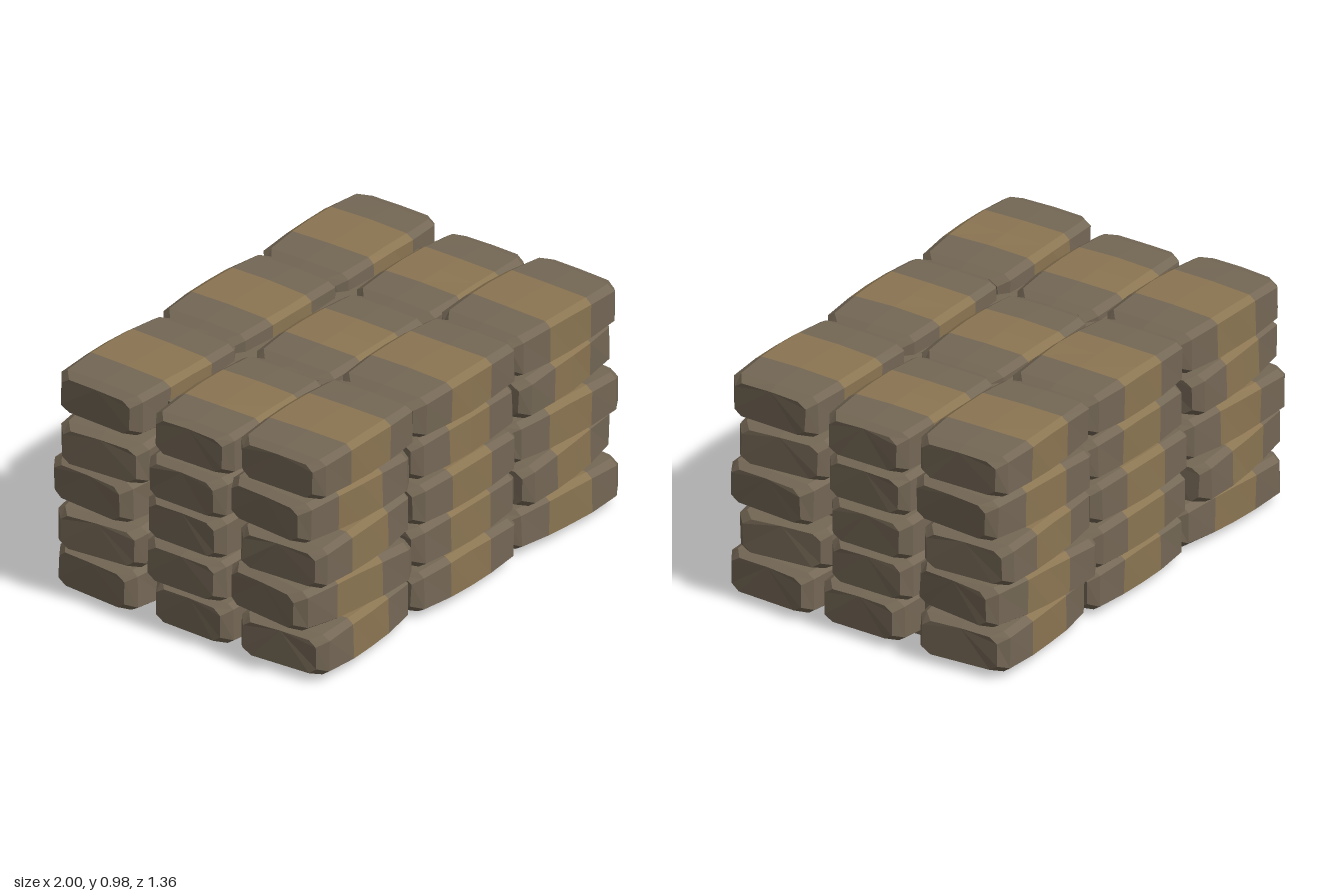
import * as THREE from 'three';

const endCloth = new THREE.MeshStandardMaterial({ color: 0x746755, flatShading: true });
endCloth.name = 'greyBrownCloth';
const midCloth = new THREE.MeshStandardMaterial({ color: 0x8b7552, flatShading: true });
midCloth.name = 'tanCloth';

// Small seeded generator, -1 to 1
let seed = 11;
function jitter() {
  seed = (seed * 16807) % 2147483647;
  return (seed / 2147483647) * 2 - 1;
}

// Faceted sack: cross-sections along x, with a tan band around the middle
function sackGeometry(halfDepth) {
  const bend = () => 0.003 * jitter();
  // x, half height, inset from the full half depth, corner cut in y and z
  const stations = [
    [-0.324, 0.072, 0.045, 0.024, 0.035], [-0.28, 0.087, 0.012, 0.02, 0.03],
    [-0.125, 0.094, 0.002, 0.02, 0.03], [0, 0.096, 0, 0.02, 0.03],
    [0.125, 0.094, 0.002, 0.02, 0.03], [0.28, 0.087, 0.012, 0.02, 0.03],
    [0.324, 0.072, 0.045, 0.024, 0.035],
  ];
  const rings = stations.map(([x, h, inset, cy, cz]) => {
    const w = halfDepth - inset;
    return [
      [h + 0.003, 0], [h, w - cz], [h - cy, w], [-h + cy, w], [-h, w - cz],
      [-h, -w + cz], [-h + cy, -w], [h - cy, -w], [h, -w + cz],
    ].map(([y, z]) => [x + bend(), y, z + bend()]);
  });
  const pos = [];
  const geo = new THREE.BufferGeometry();
  const n = rings[0].length, last = rings.length - 1;
  const tri = (a, b, c) => pos.push(...a, ...b, ...c);
  for (let i = 0; i < last; i++) {
    const start = pos.length / 3;
    for (let k = 0; k < n; k++) {
      const m = (k + 1) % n, A = rings[i], B = rings[i + 1];
      tri(A[k], A[m], B[m]);
      tri(A[k], B[m], B[k]);
    }
    geo.addGroup(start, pos.length / 3 - start, i === 2 || i === 3 ? 1 : 0);
  }
  // End caps
  const start = pos.length / 3;
  for (let k = 1; k < n - 1; k++) {
    tri(rings[last][0], rings[last][k], rings[last][k + 1]);
    tri(rings[0][0], rings[0][k + 1], rings[0][k]);
  }
  geo.addGroup(start, pos.length / 3 - start, 0);
  geo.setAttribute('position', new THREE.Float32BufferAttribute(pos, 3));
  geo.computeVertexNormals();
  return geo;
}

export function createModel() {
  const model = new THREE.Group();
  model.name = 'sandbagStack';

  // Solid core that fills the gaps
  const core = new THREE.Mesh(new THREE.BoxGeometry(1.59, 0.89, 0.98), endCloth);
  core.name = 'core';
  core.position.set(0.025, 0.445, 0.01);
  model.add(core);

  // Five layers of three by three sacks; y and z run from back to front,
  // and the corner sacks turn alternately inwards and outwards
  const layers = [
    { x: [-0.638, 0.015, 0.662], y: [0.11, 0.11, 0.112], z: [-0.42, 0.035, 0.452], turn: -0.07 },
    { x: [-0.655, 0.022, 0.655], y: [0.302, 0.293, 0.305], z: [-0.44, 0.005, 0.445], turn: 0.12 },
    { x: [-0.642, 0.015, 0.66], y: [0.49, 0.475, 0.495], z: [-0.44, 0, 0.455], turn: -0.07 },
    { x: [-0.655, 0.018, 0.655], y: [0.675, 0.66, 0.69], z: [-0.42, 0.015, 0.442], turn: 0.08 },
    { x: [-0.625, 0.018, 0.655], y: [0.87, 0.843, 0.876], z: [-0.425, 0.02, 0.452], turn: -0.02 },
  ];
  layers.forEach((layer, r) => {
    layer.x.forEach((x, i) => {
      layer.z.forEach((z, j) => {
        const sack = new THREE.Mesh(sackGeometry(j === 1 ? 0.203 : 0.215), [endCloth, midCloth]);
        sack.name = `sack_${r}_${i}_${j}`;
        sack.position.set(x, layer.y[j], z);
        sack.rotation.y = layer.turn * (i - 1) * (j - 1) + 0.012 * jitter();
        model.add(sack);
      });
    });
  });
  return model;
}
